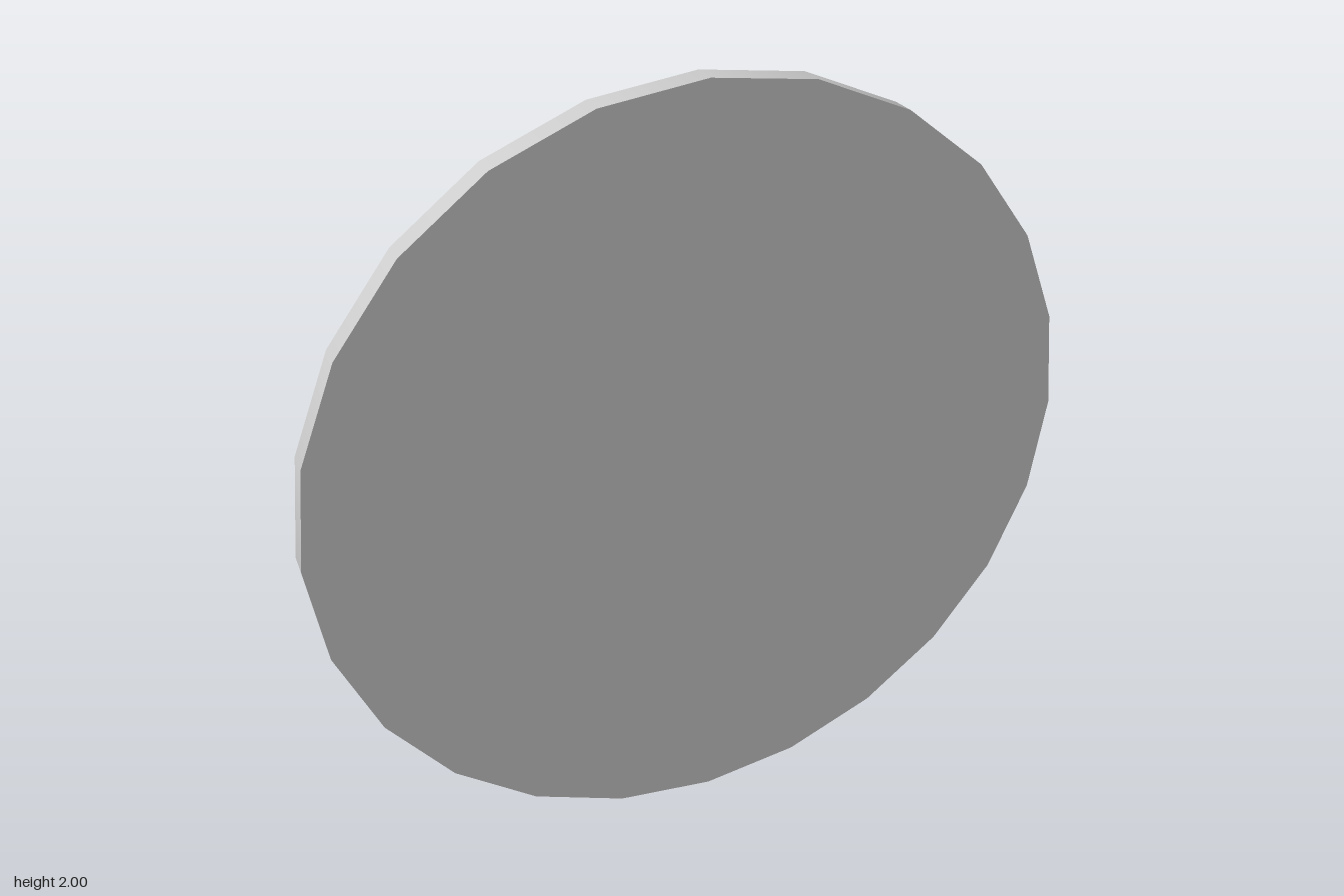
import * as THREE from 'three';

const SIDES = 24;
const FRONT = 0.053, FLOOR = 0.041, BACK = -0.013, BOLT_END = -0.053;
const OUTER = 1, INNER = 0.865, BOLT_CIRCLE = 0.93, BOLT_RADIUS = 0.04;

export function createModel() {
  const model = new THREE.Group();
  model.name = 'boltedCover';
  const material = new THREE.MeshStandardMaterial({ color: 0xcccccc });
  const flat = new THREE.MeshStandardMaterial({ color: 0xcccccc, flatShading: true });

  const add = (name, geometry, mat) => {
    const mesh = new THREE.Mesh(geometry, mat);
    mesh.name = name;
    model.add(mesh);
    mesh.position.y = 1;
    return mesh;
  };

  // Dished disc: each profile segment is turned separately to keep its edges sharp
  const profile = [
    [0, FLOOR], [INNER, FLOOR], [INNER, BACK], [OUTER, BACK], [OUTER, FRONT], [0, FRONT],
  ].map(([r, z]) => new THREE.Vector2(r, z));
  ['recessFloor', 'recessWall', 'flange', 'outerRim', 'frontFace'].forEach((name, i) => {
    const geometry = new THREE.LatheGeometry([profile[i], profile[i + 1]], SIDES);
    add(name, geometry.rotateX(Math.PI / 2), material);
  });

  // Ring of hexagonal bolts on the back flange, corners pointing outwards
  const bolt = new THREE.CylinderGeometry(BOLT_RADIUS, BOLT_RADIUS, BACK - BOLT_END, 6);
  bolt.rotateX(Math.PI / 2);
  for (let i = 0; i < SIDES; i++) {
    const a = (i / SIDES) * Math.PI * 2;
    const mesh = add('bolt', bolt, flat);
    mesh.position.set(-Math.sin(a) * BOLT_CIRCLE, 1 + Math.cos(a) * BOLT_CIRCLE, (BACK + BOLT_END) / 2);
    mesh.rotation.z = a;
  }
  return model;
}
